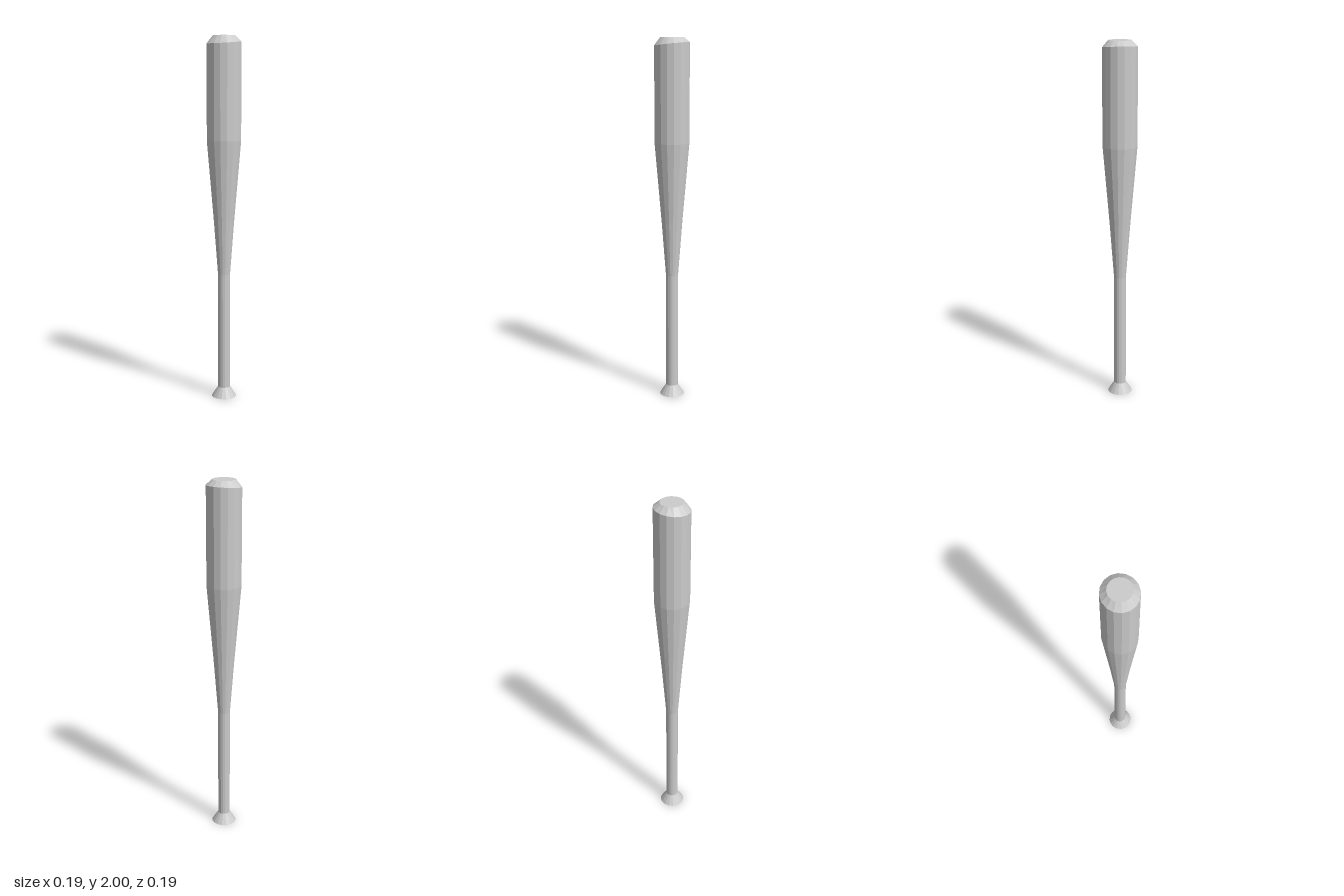
import * as THREE from 'three';

const SIDES = 16;
const material = new THREE.MeshStandardMaterial({ color: 0xcccccc, flatShading: true });

// Turned section from [radius, height] pairs, listed bottom to top
function turned(name, profile) {
  const points = profile.map(([r, y]) => new THREE.Vector2(r, y));
  const mesh = new THREE.Mesh(new THREE.LatheGeometry(points, SIDES), material);
  mesh.name = name;
  return mesh;
}

// The rim at the top of the barrel leans slightly towards the front
const RIM = 1.965;
function tiltRim(mesh) {
  const pos = mesh.geometry.attributes.position;
  for (let i = 0; i < pos.count; i++) {
    if (Math.abs(pos.getY(i) - RIM) < 1e-4) pos.setY(i, RIM - 0.1 * pos.getZ(i));
  }
  mesh.geometry.computeVertexNormals();
  return mesh;
}

export function createModel() {
  const bat = new THREE.Group();
  bat.name = 'bat';
  bat.add(
    // Flared knob with a closed base
    turned('knob', [[0, 0], [0.069, 0], [0.034, 0.055]]),
    // Straight grip
    turned('handle', [[0.034, 0.055], [0.034, 0.7]]),
    // Widening middle
    turned('taper', [[0.034, 0.7], [0.057, 1.0], [0.095, 1.44]]),
    // Straight hitting part
    tiltRim(turned('barrel', [[0.095, 1.44], [0.095, RIM]])),
    // Bevelled end with a flat top
    tiltRim(turned('endCap', [[0.095, RIM], [0.062, 2], [0, 2]]))
  );
  return bat;
}
